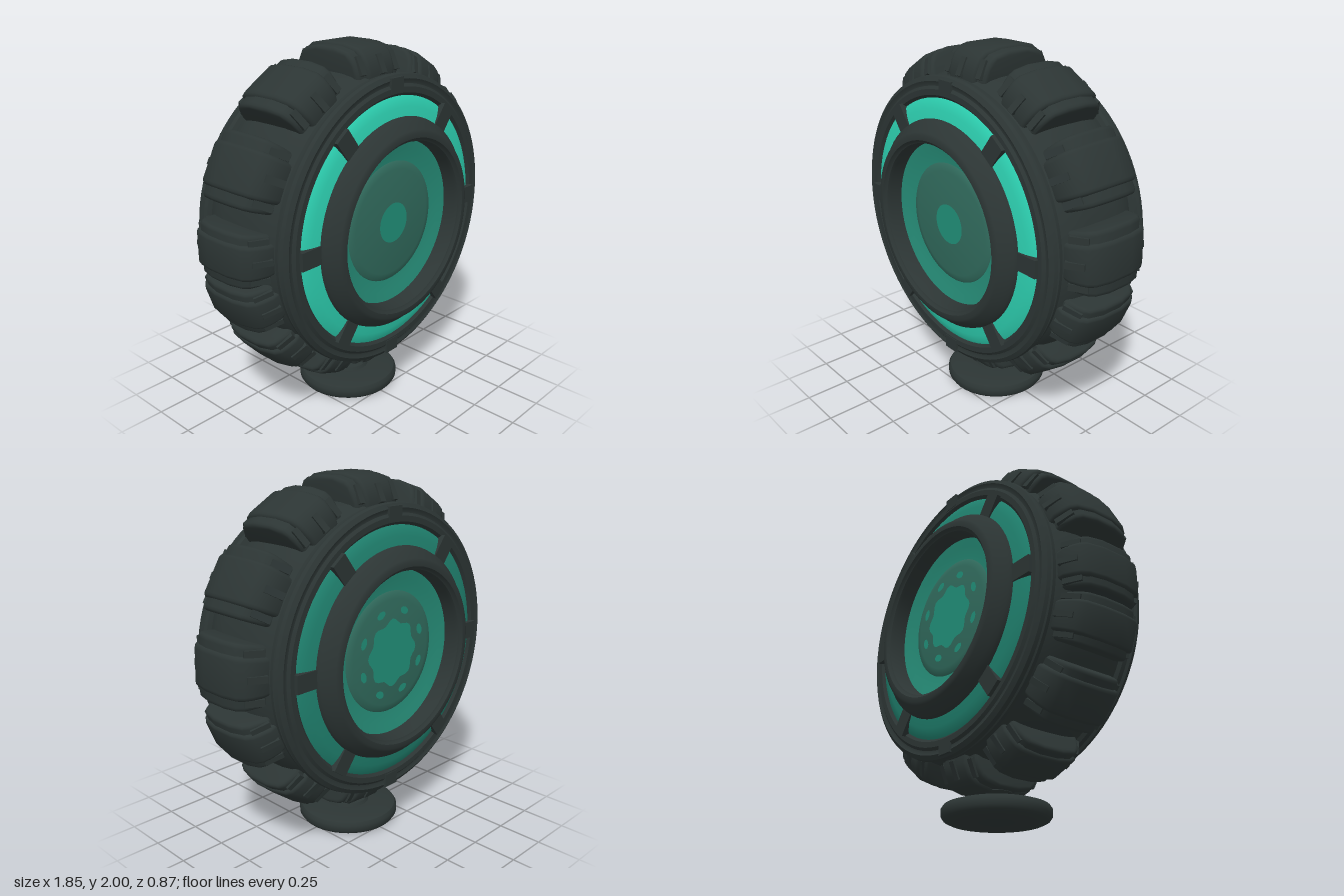
import * as THREE from 'three';
import { toCreasedNormals } from 'three/addons/utils/BufferGeometryUtils.js';

const mat = (name, color, side = THREE.FrontSide) => {
  const m = new THREE.MeshStandardMaterial({ color, side });
  m.name = name;
  return m;
};

export function createModel() {
  const rubber = mat('dark rubber', 0x2c3534, THREE.DoubleSide);
  const glow = mat('bright teal', 0x2dcfb0, THREE.DoubleSide);
  const dimGlow = mat('deep teal', 0x208370, THREE.DoubleSide);
  const bowl = mat('mid teal', 0x268c77, THREE.DoubleSide);
  const muted = mat('muted teal', 0x316b5d, THREE.DoubleSide);
  const core = mat('core teal', 0x219079, THREE.DoubleSide);

  const model = new THREE.Group();
  const wheel = new THREE.Group();
  wheel.name = 'wheel';
  wheel.position.y = 1.072;
  model.add(wheel);

  const add = (parent, name, geo, material) => {
    const m = new THREE.Mesh(geo, material);
    m.name = name;
    parent.add(m);
    return m;
  };
  const lathe = (pts, seg = 72) =>
    toCreasedNormals(new THREE.LatheGeometry(pts.map(p => new THREE.Vector2(...p)), seg), 0.6);
  // group turned so that its local +y points outwards at the given angle
  const spoke = (parent, name, deg) => {
    const g = new THREE.Group();
    g.name = name;
    g.rotation.z = THREE.MathUtils.degToRad(deg - 90);
    parent.add(g);
    return g;
  };

  // tyre body with raised rims, mirrored from a half profile (radius, z)
  const half = [[0.802, 0], [0.8, 0.1], [0.79, 0.17], [0.77, 0.22], [0.758, 0.245], [0.778, 0.256],
    [0.782, 0.278], [0.772, 0.285], [0.788, 0.295], [0.783, 0.315], [0.76, 0.33], [0.745, 0.323],
    [0.735, 0.323], [0.72, 0.335], [0.69, 0.335], [0.675, 0.32], [0.67, 0.28]];
  const back = half.slice(1).reverse().map(([r, z]) => [r, -z]);
  add(wheel, 'tyreBody', lathe([...back, ...half], 96).rotateX(Math.PI / 2), rubber);

  // tread lug: rounded section pulled along the tread and flared outwards
  const section = new THREE.Shape([[-0.235, 0.74], [0.235, 0.74], [0.24, 0.8], [0.22, 0.85], [0.2, 0.883],
    [0.165, 0.908], [0.07, 0.926], [-0.07, 0.926], [-0.165, 0.908], [-0.2, 0.883], [-0.22, 0.85], [-0.24, 0.8]]
    .map(p => new THREE.Vector2(...p)));
  const slab = (width, scaleZ, lift) => {
    const g = new THREE.ExtrudeGeometry(section, { depth: width - 0.05, bevelEnabled: true,
      bevelThickness: 0.025, bevelSize: 0.022, bevelOffset: -0.022, bevelSegments: 3 });
    g.translate(0, 0, -(width - 0.05) / 2).rotateY(Math.PI / 2);
    const p = g.attributes.position;
    for (let i = 0; i < p.count; i++) {
      const y = p.getY(i);
      p.setXYZ(i, p.getX(i) * (1 + (y - 0.9) * 0.9), y + lift, p.getZ(i) * scaleZ);
    }
    return toCreasedNormals(g, 0.7);
  };
  const lugCore = slab(0.22, 0.98, 0), lugWings = slab(0.335, 0.88, -0.014);
  const rib = new THREE.BoxGeometry(0.035, 0.1, 0.03);
  // angle and width of each lug
  const lugs = [[90, 0.35], [60, 0.34], [31, 0.35], [2, 0.34], [-23, 0.28], [-53, 0.32], [-86, 0.34],
    [-111, 0.27], [-137, 0.3], [-161, 0.26], [180, 0.28], [152.5, 0.35], [122, 0.36]];
  for (const [angle, width] of lugs) {
    const lug = spoke(wheel, 'treadLug', angle);
    lug.scale.x = width / 0.335;
    add(lug, 'lugCore', lugCore, rubber);
    add(lug, 'lugWings', lugWings, rubber);
    for (const s of [1, -1]) for (const x of [-0.12, 0, 0.12]) {
      const r = add(lug, 'lugRib', rib, rubber);
      r.position.set(x, 0.825, s * (x ? 0.195 : 0.22));
      r.rotation.x = -s * 0.45;
    }
  }

  // both faces of the wheel
  for (const front of [true, false]) {
    const face = new THREE.Group();
    face.name = front ? 'frontFace' : 'backFace';
    face.rotation.y = front ? 0 : Math.PI;
    wheel.add(face);
    const ring = (name, pts, m) => add(face, name, lathe(pts).rotateX(Math.PI / 2), m);

    ring('lightRing', [[0.685, 0.312], [0.665, 0.328], [0.62, 0.342], [0.55, 0.352]], front ? glow : dimGlow);
    ring('hubRing', [[0.575, 0.3], [0.572, 0.35], [0.565, 0.372], [0.545, 0.39], [0.515, 0.428], [0.5, 0.436],
      [0.475, 0.436], [0.465, 0.422], [0.457, 0.418], [0.45, 0.4], [0.448, 0.31]], rubber);
    ring('lensBowl', [[0.452, 0.33], [0.4, 0.32], [0.36, 0.312], [0.325, 0.308]], bowl);
    ring('lensDisc', [[0.335, 0.306], [0.325, 0.315], [0.29, 0.322], [0, 0.328]], muted);

    // bridges dividing the light ring
    for (const a of [0, 53, 127, 180, 233, 307]) {
      const g = spoke(face, 'bridge', a);
      add(g, 'bridgeBar', new THREE.BoxGeometry(0.095, 0.14, 0.064), rubber).position.set(0, 0.625, 0.324);
    }
    // small clamps over the rim
    for (const a of [90, 270]) {
      const g = spoke(face, 'rimClamp', a);
      add(g, 'clampBlock', new THREE.BoxGeometry(0.095, 0.075, 0.07), rubber).position.set(0, 0.735, 0.303);
    }
    // lens centre: a plain spot in front, a notched patch with dots behind
    const patch = new THREE.Shape();
    for (let i = 0; i < 48; i++) {
      const t = i / 48 * Math.PI * 2;
      const r = front ? 0.11 : 0.175 + 0.013 * Math.cos(8 * t);
      patch[i ? 'lineTo' : 'moveTo'](Math.cos(t) * r, Math.sin(t) * r);
    }
    add(face, 'lensCore', new THREE.ShapeGeometry(patch), core).position.z = 0.331;
    if (!front) for (let i = 0; i < 8; i++) {
      const g = spoke(face, 'lensDot', i * 45 + 22);
      const d = add(g, 'dot', new THREE.CircleGeometry(0.02, 12), core);
      d.position.set(0, 0.235, 0.329);
      d.scale.x = 1.6;
    }
  }

  // round foot with a stepped neck
  add(model, 'foot', lathe([[0, 0], [0.25, 0], [0.275, 0.012], [0.287, 0.03], [0.287, 0.062], [0.275, 0.08],
    [0.245, 0.09], [0.12, 0.092], [0.11, 0.11], [0.075, 0.118], [0.062, 0.135], [0.08, 0.15], [0.08, 0.24]], 48), rubber);

  return model;
}
